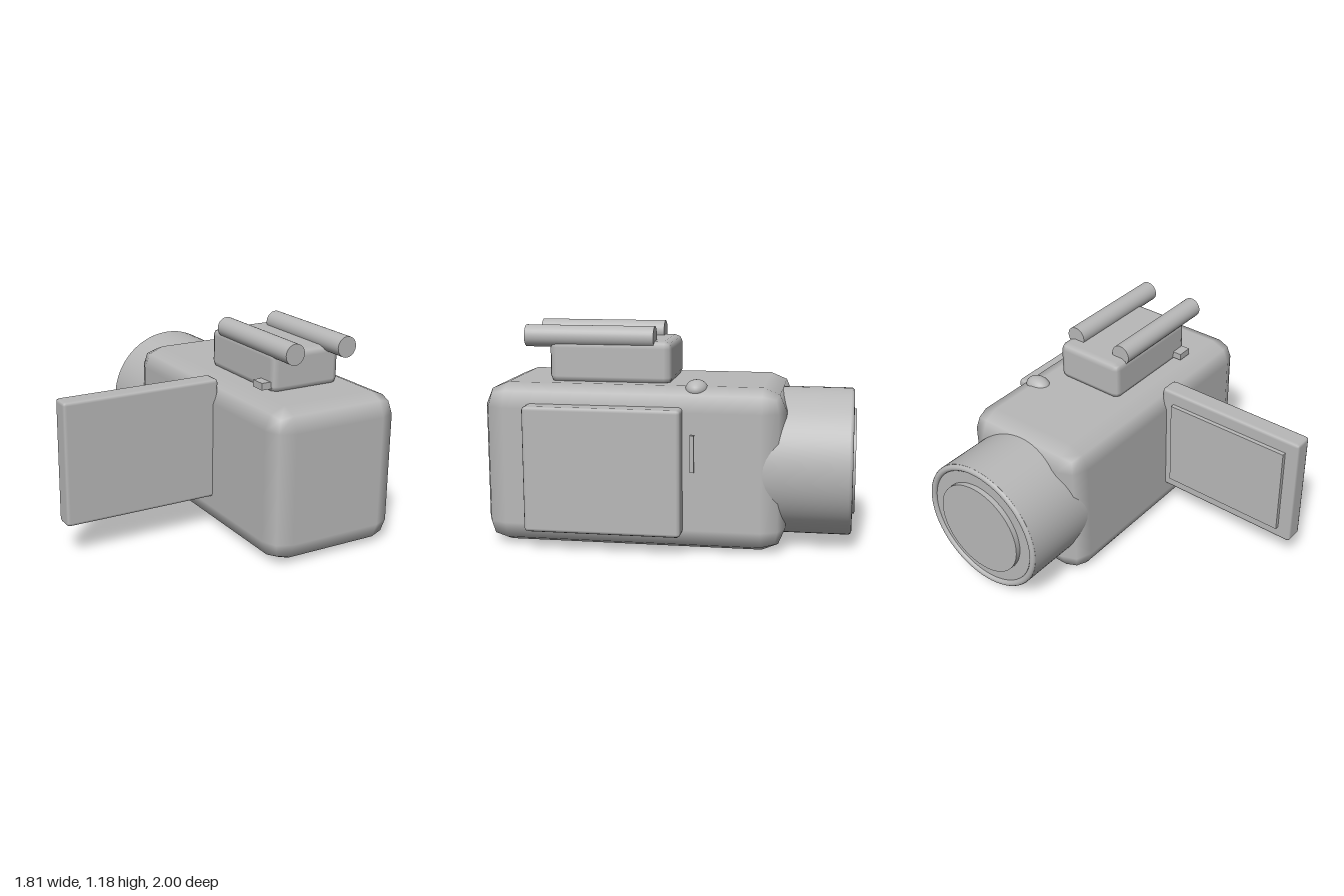
import * as THREE from 'three';
import { RoundedBoxGeometry } from 'three/addons/geometries/RoundedBoxGeometry.js';

export function createModel() {
  const camera = new THREE.Group();
  camera.name = 'videoCamera';
  const grey = new THREE.MeshStandardMaterial({ color: 0xb8b8b8 });
  grey.name = 'grey';

  function add(name, geometry, x = 0, y = 0, z = 0) {
    const mesh = new THREE.Mesh(geometry, grey);
    mesh.name = name;
    mesh.position.set(x, y, z);
    camera.add(mesh);
    return mesh;
  }

  // Box given by its limits on each axis, rounded when a radius is given
  function addBox(name, [x0, x1], [y0, y1], [z0, z1], radius = 0) {
    const size = [x1 - x0, y1 - y0, z1 - z0];
    const geometry = radius
      ? new RoundedBoxGeometry(...size, 1, radius)
      : new THREE.BoxGeometry(...size);
    return add(name, geometry, (x0 + x1) / 2, (y0 + y1) / 2, (z0 + z1) / 2);
  }

  // Cylinder lying along z
  function addRod(name, radius, x, y, [z0, z1], sides) {
    const geometry = new THREE.CylinderGeometry(radius, radius, z1 - z0, sides);
    geometry.rotateX(Math.PI / 2);
    return add(name, geometry, x, y, (z0 + z1) / 2);
  }

  // Main housing
  addBox('body', [0, 0.815], [0, 0.883], [-0.637, 1], 0.125);

  // Lens barrel, rounded rim and glass
  const lensX = 0.408, lensY = 0.442;
  addRod('lensBarrel', 0.404, lensX, lensY, [-0.97, -0.4], 64);
  add('lensRim', new THREE.TorusGeometry(0.384, 0.02, 12, 64), lensX, lensY, -0.967);
  addRod('lensGlass', 0.288, lensX, lensY, [-1, -0.9], 48);

  // Fold-out screen
  addBox('screenPanel', [-0.91, 0.035], [0.19, 0.902], [0.225, 0.343], 0.02);
  addBox('screenDisplay', [-0.83, -0.05], [0.27, 0.82], [0.2, 0.24]);

  // Side grip and the slim switch behind it
  addBox('sideGrip', [0.78, 0.905], [0.105, 0.785], [-0.1, 0.745], 0.02);
  addBox('sideSwitch', [0.825, 0.845], [0.447, 0.645], [-0.165, -0.143]);

  // Top block with two microphone rods
  addBox('topBlock', [0.19, 0.63], [0.87, 1.105], [-0.01, 0.662], 0.04);
  for (const x of [0.238, 0.577]) addRod('microphoneRod', 0.06, x, 1.124, [0.085, 0.797], 32);
  addBox('topSwitch', [0.135, 0.22], [0.898, 0.938], [0.545, 0.635]);

  // Record button
  const button = add('recordButton', new THREE.SphereGeometry(1, 32, 16), 0.683, 0.867, -0.157);
  button.scale.set(0.08, 0.05, 0.06);

  return camera;
}
